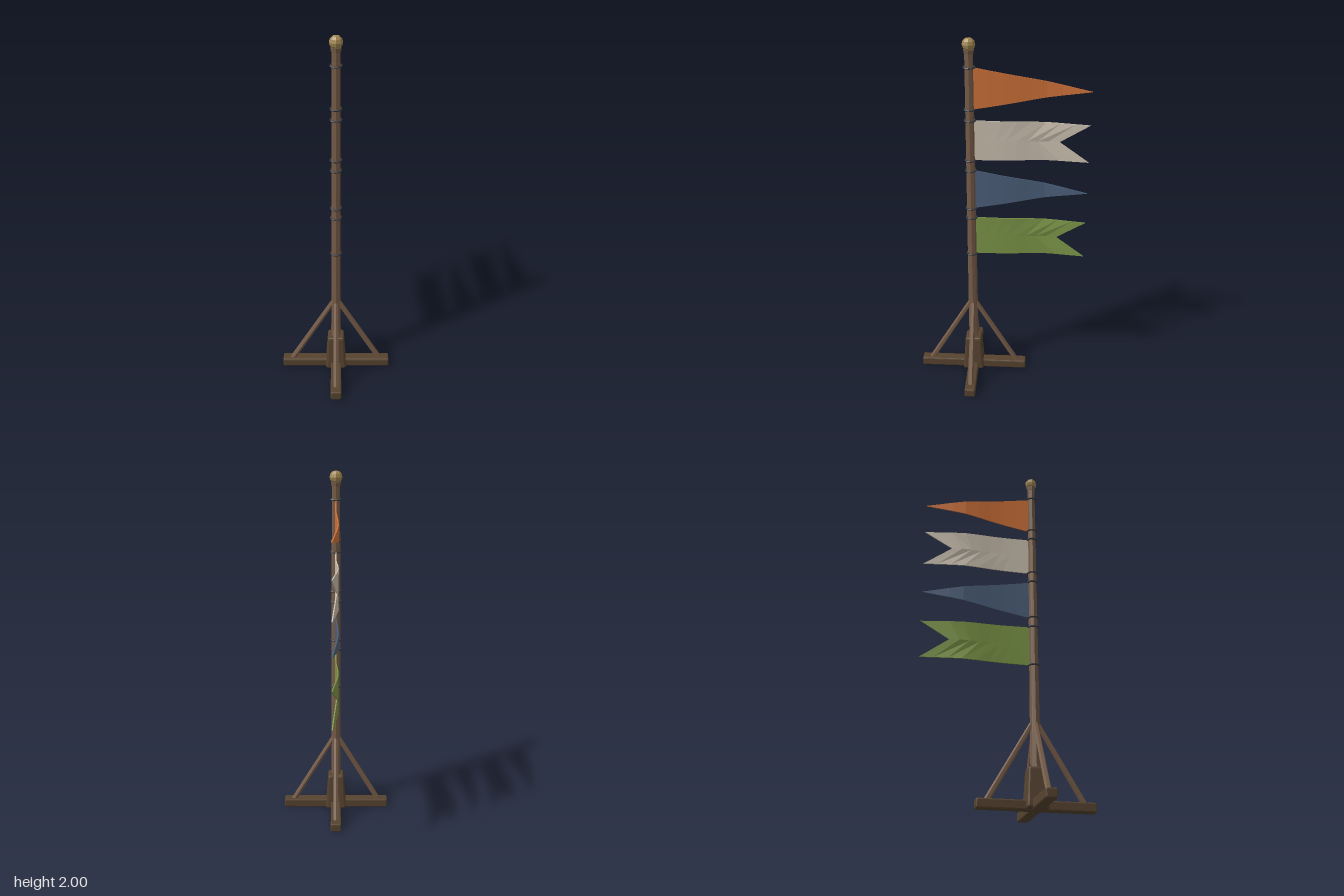
import * as THREE from 'three';
import { RoundedBoxGeometry } from 'three/addons/geometries/RoundedBoxGeometry.js';

const POLE_Z = 0.154;

function material(name, color) {
  const m = new THREE.MeshStandardMaterial({ color, flatShading: true });
  m.name = name;
  return m;
}

// Sideways sway of the cloth, as x against z
const SWAY = [[0.14, 0], [0, 0.002], [-0.09, -0.002], [-0.17, -0.009], [-0.25, -0.012],
  [-0.31, -0.004], [-0.38, 0.007], [-0.466, 0.019]];
function swayAt(z) {
  for (let i = 1; i < SWAY.length; i++) {
    const [z0, x0] = SWAY[i - 1], [z1, x1] = SWAY[i];
    if (z >= z1 - 1e-6) return x0 + (x1 - x0) * (z0 - z) / (z0 - z1);
  }
  return SWAY[SWAY.length - 1][1];
}

// Thin cloth, either a pointed pennant or a forked banner
function flagGeometry(top, bottom, forked) {
  const geo = new THREE.BoxGeometry(0.006, 1, 1, 1, 2, 8);
  const pos = geo.attributes.position;
  const mid = (top + bottom) / 2, start = 0.136;
  for (let i = 0; i < pos.count; i++) {
    const u = 0.5 - pos.getZ(i), v = pos.getY(i);
    const length = 0.602 - (forked ? 0.155 * (1 - 2 * Math.abs(v)) : 0);
    const height = (top - bottom) * (forked ? 1 - 0.07 * u : 1 - 0.995 * u);
    const z = start - u * length;
    pos.setXYZ(i, pos.getX(i) + swayAt(z), mid + v * height, z);
  }
  geo.computeVertexNormals();
  return geo;
}

export function createModel() {
  const group = new THREE.Group();
  const poleWood = material('pole wood', 0x765c48);
  const baseWood = material('dark base wood', 0x56432f);
  const iron = material('dark iron', 0x3a3a3e);
  const brass = material('brass', 0xa08650);

  function add(name, geo, mat, x = 0, y = 0, z = 0) {
    const mesh = new THREE.Mesh(geo, mat);
    mesh.name = name;
    mesh.position.set(x, y, z + POLE_Z);
    group.add(mesh);
    return mesh;
  }

  // Crossed floor beams
  add('crossBeamSide', new RoundedBoxGeometry(0.62, 0.05, 0.06, 1, 0.007), baseWood, 0, 0.03, 0);
  add('crossBeamFront', new RoundedBoxGeometry(0.06, 0.05, 0.62, 1, 0.007), baseWood, 0, 0.03, 0);

  // Tapered socket block
  const block = new RoundedBoxGeometry(0.12, 0.212, 0.12, 1, 0.012);
  const bp = block.attributes.position;
  for (let i = 0; i < bp.count; i++) {
    const s = 0.88 - 0.24 * bp.getY(i) / 0.212;
    bp.setX(i, bp.getX(i) * s);
    bp.setZ(i, bp.getZ(i) * s);
  }
  add('socketBlock', block, baseWood, 0, 0.116, 0);

  // Pole, collar and finial
  add('pole', new THREE.CylinderGeometry(0.022, 0.028, 1.91, 8), poleWood, 0, 0.985, 0);
  add('topCollar', new THREE.CylinderGeometry(0.027, 0.024, 0.022, 8), poleWood, 0, 1.93, 0);
  add('finial', new THREE.SphereGeometry(0.034, 8, 6), brass, 0, 1.966, 0);

  // Four diagonal braces
  const up = new THREE.Vector3(0, 1, 0);
  for (let i = 0; i < 4; i++) {
    const a = i * Math.PI / 2, c = Math.cos(a), s = Math.sin(a);
    const foot = new THREE.Vector3(0.255 * c, 0.045, 0.255 * s);
    const head = new THREE.Vector3(0.016 * c, 0.455, 0.016 * s);
    const dir = head.clone().sub(foot);
    const centre = foot.clone().add(head).multiplyScalar(0.5);
    const brace = add('brace', new THREE.CylinderGeometry(0.014, 0.016, dir.length(), 6),
      poleWood, centre.x, centre.y, centre.z);
    brace.quaternion.setFromUnitVectors(up, dir.normalize());
  }

  // Flags, each tied on by two rings
  const flags = [
    ['orange', 0xcc7038, 1.85, 1.63, false],
    ['cream', 0xcabfaf, 1.57, 1.35, true],
    ['blue', 0x4c5f7a, 1.29, 1.068, false],
    ['green', 0x7c9648, 1.01, 0.785, true],
  ];
  for (const [name, color, top, bottom, forked] of flags) {
    const flag = new THREE.Mesh(flagGeometry(top, bottom, forked), material(name + ' cloth', color));
    flag.name = name + 'Flag';
    group.add(flag);
    for (const y of [top, bottom]) {
      const ring = add('tieRing', new THREE.TorusGeometry(0.028, 0.005, 6, 10), iron, 0, y, 0);
      ring.rotation.x = Math.PI / 2;
    }
  }
  return group;
}
